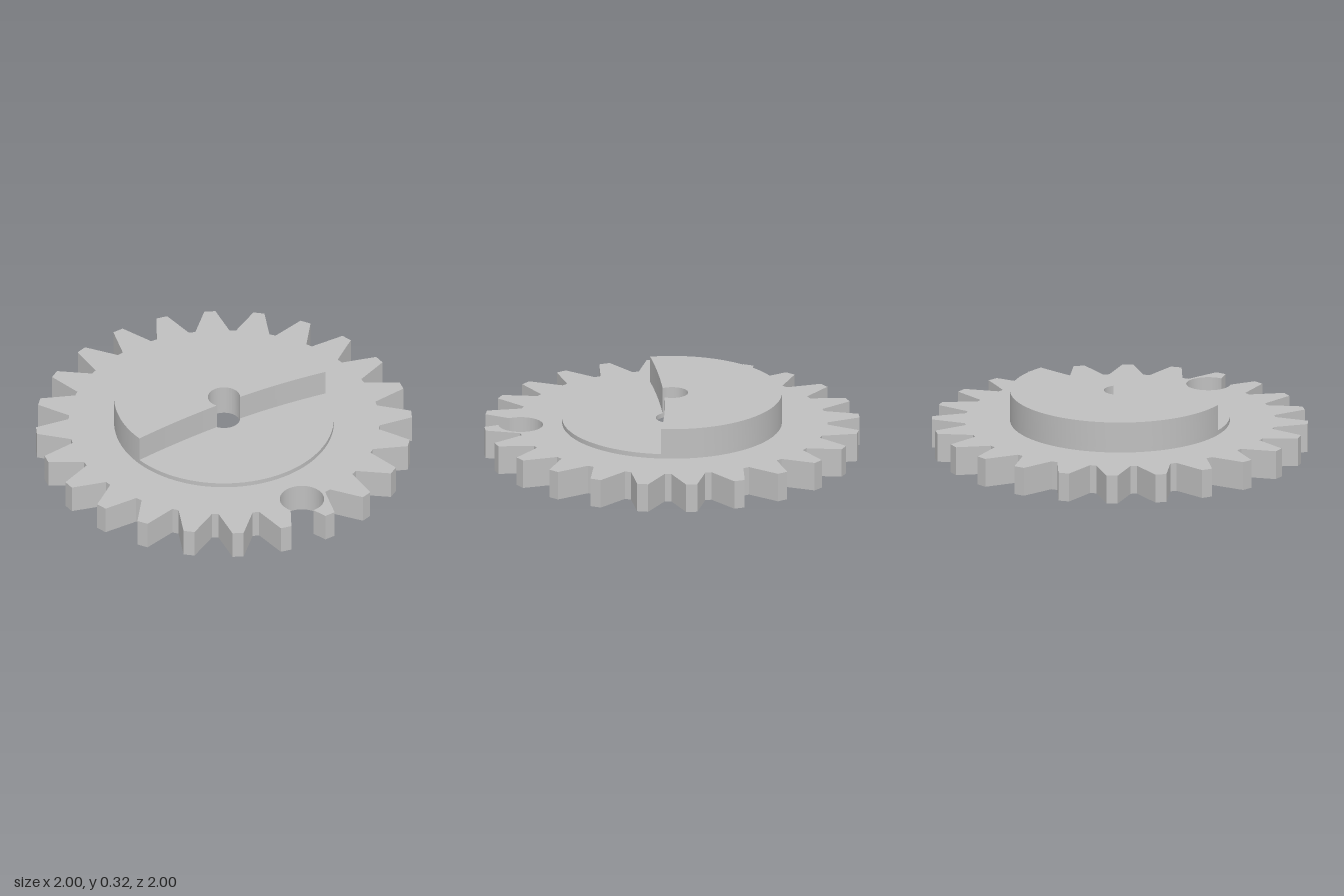
import * as THREE from 'three';
import { toCreasedNormals } from 'three/addons/utils/BufferGeometryUtils.js';

const TEETH = 24, ROOT = 0.827, HUB = 0.585, BORE = 0.086;
const rad = THREE.MathUtils.degToRad;

// Point at a clockwise angle (degrees) from the back, in the plan outline
const polar = (deg, r) => new THREE.Vector2(Math.sin(rad(deg)) * r, Math.cos(rad(deg)) * r);

// Plan outline extruded upwards from y0 to y1
function plate(name, shape, y0, y1, material) {
  let geo = new THREE.ExtrudeGeometry(shape, { depth: y1 - y0, bevelEnabled: false, curveSegments: 48 });
  geo.rotateX(-Math.PI / 2).translate(0, y0, 0);
  geo = toCreasedNormals(geo, rad(12));
  const mesh = new THREE.Mesh(geo, material);
  mesh.name = name;
  return mesh;
}

function addBore(shape) {
  shape.holes.push(new THREE.Path().absarc(0, 0, BORE, 0, Math.PI * 2, true));
  return shape;
}

// Toothed outline with a round notch between two teeth
function gearShape() {
  const notchAfter = 8;
  const shape = new THREE.Shape();
  for (let k = 0; k < TEETH; k++) {
    const mid = 2.65 + k * 360 / TEETH;
    const pts = [polar(mid - 6.3, ROOT), polar(mid - 1.7, 1.001), polar(mid + 1.7, 1.001), polar(mid + 6.3, ROOT)];
    pts.forEach((p, i) => {
      if (k === 0 && i === 0) shape.moveTo(p.x, p.y);
      else if (k === notchAfter && i === 3) shape.absarc(0.652, -0.473, 0.118, rad(-35.8), rad(262.3), false);
      else if (k === notchAfter + 1 && i === 0) return;
      else shape.lineTo(p.x, p.y);
    });
  }
  shape.closePath();
  return addBore(shape);
}

// Half disc with slightly bowed edges running out from the bore
function camShape() {
  const shape = new THREE.Shape();
  shape.absarc(0, 0, HUB, rad(45.7), rad(242.8), false);
  shape.quadraticCurveTo(-0.155, -0.308, -0.005, -BORE);
  shape.absarc(0, 0, BORE, rad(266.7), rad(23.6), true);
  shape.quadraticCurveTo(0.232, 0.24, 0.409, 0.419);
  return shape;
}

export function createModel() {
  const group = new THREE.Group();
  group.name = 'gearWithCam';
  const grey = new THREE.MeshStandardMaterial({ color: 0xbfbfbf });
  grey.name = 'grey';

  const disc = new THREE.Shape().absarc(0, 0, HUB, 0, Math.PI * 2, false);
  group.add(
    plate('toothedWheel', gearShape(), 0, 0.155, grey),
    plate('hubDisc', addBore(disc), 0.155, 0.18, grey),
    plate('raisedCam', camShape(), 0.18, 0.322, grey),
  );
  return group;
}
